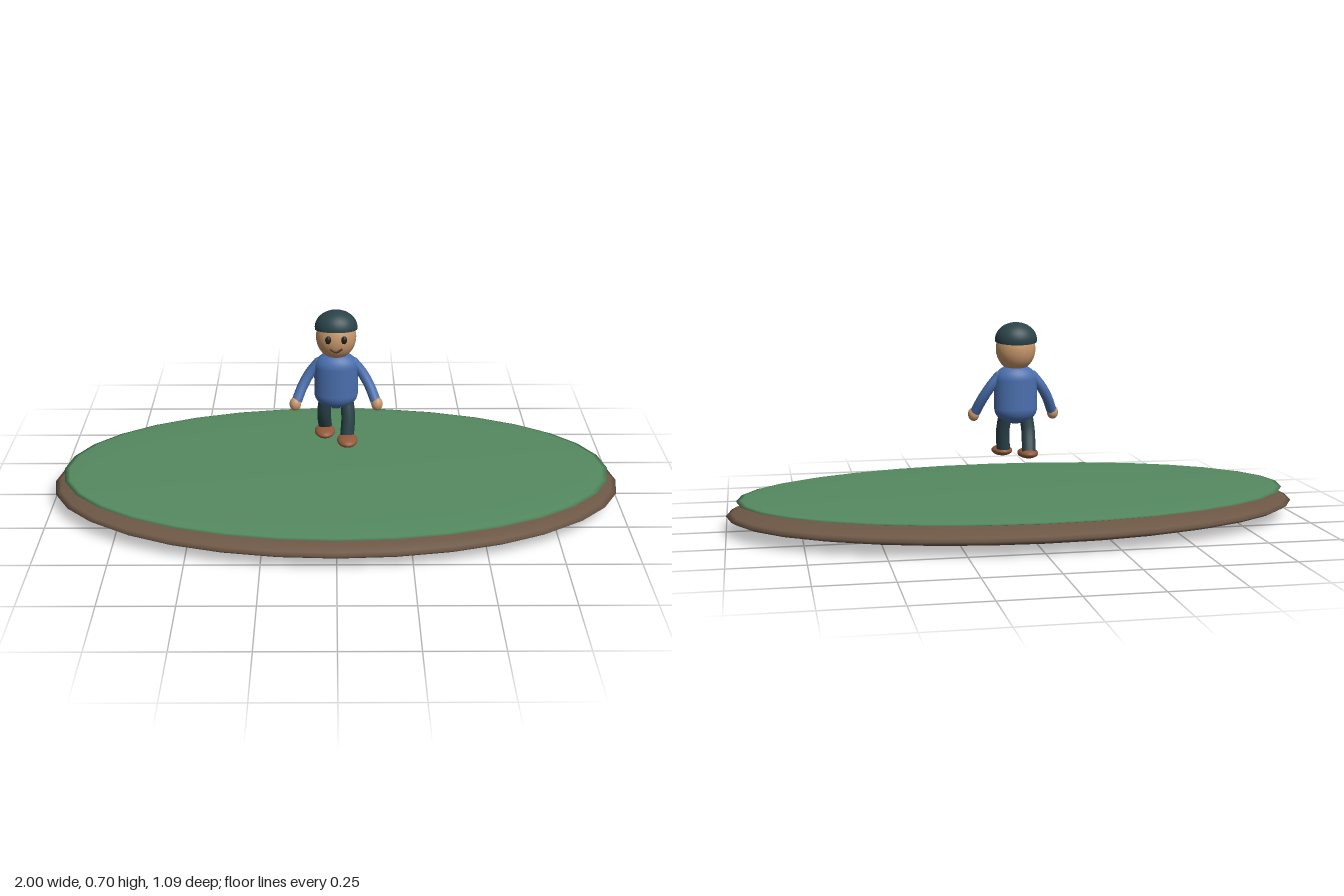
import * as THREE from 'three';

export function createModel() {
  const model = new THREE.Group();
  model.name = 'walkerOnIsland';

  const material = (name, color) => {
    const m = new THREE.MeshStandardMaterial({ color });
    m.name = name;
    return m;
  };
  const earth = material('earth brown', 0x6e5846);
  const grass = material('grass green', 0x558a60);
  const skin = material('skin', 0xc8986c);
  const shirt = material('shirt blue', 0x4a6fae);
  const dark = material('dark teal', 0x2a4349);
  const shoe = material('shoe brown', 0x93593a);
  const ink = material('ink', 0x1c1f20);
  const lip = material('lip brown', 0x4a2820);
  dark.side = THREE.DoubleSide;

  const add = (name, geometry, mat, x = 0, y = 0, z = 0) => {
    const mesh = new THREE.Mesh(geometry, mat);
    mesh.name = name;
    mesh.position.set(x, y, z);
    model.add(mesh);
    return mesh;
  };
  const ellipsoid = (name, mat, [x, y, z], [rx, ry, rz]) =>
    add(name, new THREE.SphereGeometry(1, 32, 16).scale(rx, ry, rz), mat, x, y, z);
  const limb = (name, mat, points, radius) => {
    const curve = new THREE.CatmullRomCurve3(points.map((p) => new THREE.Vector3(...p)));
    add(name, new THREE.TubeGeometry(curve, 20, radius, 14), mat);
    // round joint at the start of the limb
    ellipsoid(name + 'Joint', mat, points[0], [radius, radius, radius]);
  };

  // Flattened oval ground
  ellipsoid('earthDisc', earth, [0, 0.057, 0], [1, 0.054, 0.545]);
  ellipsoid('grassDisc', grass, [0, 0.106, 0], [0.965, 0.016, 0.525]);

  // Torso, wider than deep
  add('torso', new THREE.CapsuleGeometry(0.054, 0.1, 10, 28).scale(1.4, 1, 1), shirt, 0, 0.45, 0.001);

  // Head and tilted cap of hair
  ellipsoid('head', skin, [0, 0.608, 0], [0.069, 0.077, 0.064]);
  const hair = add('hair',
    new THREE.SphereGeometry(1, 32, 10, 0, Math.PI * 2, 0, Math.PI * 0.54).scale(0.073, 0.059, 0.064),
    dark, 0, 0.641, -0.006);
  hair.rotation.x = -0.13;

  // Smiling mouth
  const smile = new THREE.CatmullRomCurve3([
    new THREE.Vector3(-0.021, 0.585, 0.06),
    new THREE.Vector3(0, 0.575, 0.064),
    new THREE.Vector3(0.021, 0.585, 0.06),
  ]);
  add('mouth', new THREE.TubeGeometry(smile, 12, 0.0035, 8), lip);

  for (const [side, s] of [['left', 1], ['right', -1]]) {
    ellipsoid(side + 'Eye', ink, [s * 0.027, 0.618, 0.062], [0.01, 0.014, 0.009]);

    // Arms swing outward and slightly forward
    limb(side + 'Arm', shirt, [
      [s * 0.06, 0.513, -0.001], [s * 0.09, 0.475, 0.002],
      [s * 0.115, 0.433, 0.016], [s * 0.136, 0.385, 0.04],
    ], 0.018);
    ellipsoid(side + 'Hand', skin, [s * 0.141, 0.376, 0.044], [0.02, 0.024, 0.02]);

    // Left leg strides forward, right leg trails
    const ankle = s > 0 ? 0.033 : -0.043;
    limb(side + 'Leg', dark, [
      [s * 0.034, 0.39, 0], [s * 0.042, 0.32, ankle * 0.4 + 0.006], [s * 0.038, 0.25, ankle],
    ], 0.024);
    ellipsoid(side + 'Shoe', shoe, [s * 0.039, 0.244, ankle + 0.023], [0.036, 0.018, 0.051]);
  }

  return model;
}
